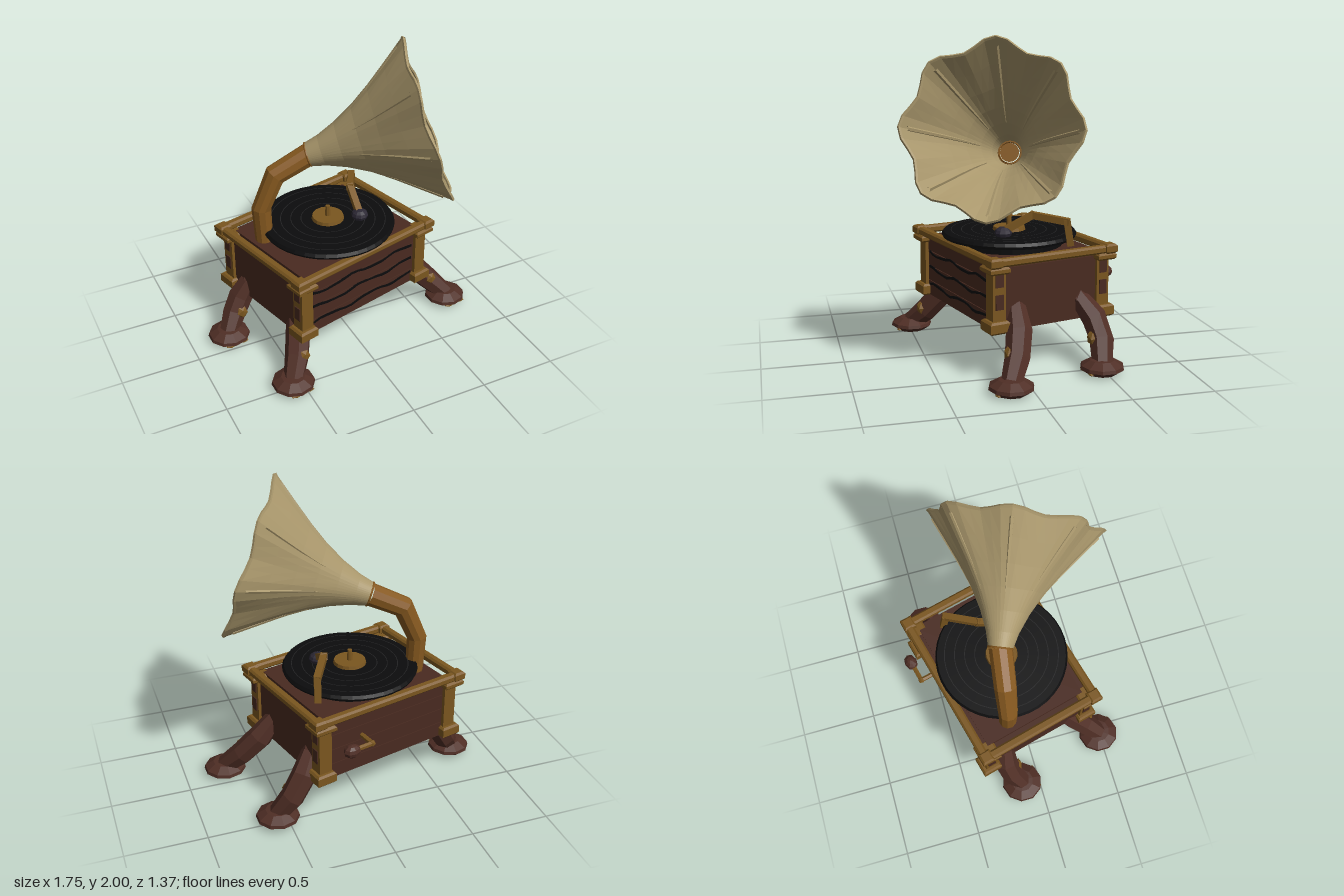
import * as THREE from 'three';

const material = (name, color, side = THREE.FrontSide) => {
  const m = new THREE.MeshStandardMaterial({ color, flatShading: true, side });
  m.name = name;
  return m;
};
const wood = material('dark wood', 0x492a20);
const footWood = material('red wood', 0x4f2e25);
const gold = material('old brass', 0x7a561f);
const pipeGold = material('pipe brass', 0x85581f);
const cream = material('horn cream', 0xa8966b, THREE.DoubleSide);
const black = material('record black', 0x0c0c0d);
const groove = material('groove grey', 0x222223);
const slate = material('cartridge slate', 0x2c2834);

const V = (x, y, z) => new THREE.Vector3(x, y, z);

function add(parent, name, geometry, mat, x = 0, y = 0, z = 0) {
  const mesh = new THREE.Mesh(geometry, mat);
  mesh.name = name;
  mesh.position.set(x, y, z);
  parent.add(mesh);
  return mesh;
}
const box = (parent, name, mat, w, h, d, x, y, z) =>
  add(parent, name, new THREE.BoxGeometry(w, h, d), mat, x, y, z);

// Box with a chamfer on every edge, base at y
function bevelBox(parent, name, mat, w, h, d, x, y, z, b = 0.012) {
  const s = new THREE.Shape();
  const a = w / 2 - b, c = d / 2 - b;
  s.moveTo(-a, -c).lineTo(a, -c).lineTo(a, c).lineTo(-a, c);
  const g = new THREE.ExtrudeGeometry(s, {
    depth: h - 2 * b, bevelEnabled: true, bevelSegments: 1, bevelSize: b, bevelThickness: b,
  });
  g.rotateX(-Math.PI / 2);
  return add(parent, name, g, mat, x, y + b, z);
}

// Tube whose radius follows a list from start to end
function taper(points, radii, steps, sides) {
  const curve = new THREE.CatmullRomCurve3(points);
  const g = new THREE.TubeGeometry(curve, steps, 1, sides, false);
  const p = g.attributes.position, v = V(0, 0, 0);
  for (let i = 0; i <= steps; i++) {
    const c = curve.getPointAt(i / steps);
    const f = (i / steps) * (radii.length - 1), k = Math.min(Math.floor(f), radii.length - 2);
    const r = THREE.MathUtils.lerp(radii[k], radii[k + 1], f - k);
    for (let j = 0; j <= sides; j++) {
      const n = i * (sides + 1) + j;
      v.fromBufferAttribute(p, n).sub(c).multiplyScalar(r).add(c);
      p.setXYZ(n, v.x, v.y, v.z);
    }
  }
  g.computeVertexNormals();
  return g;
}

function buildCabinet() {
  const cabinet = new THREE.Group();
  cabinet.name = 'cabinet';
  cabinet.position.set(-0.07, 0, -0.08);
  cabinet.rotation.y = 0.25;
  box(cabinet, 'cabinetBody', wood, 0.985, 0.38, 0.74, 0, 0.48, 0);

  // Front and back planks, with seams between them
  for (const s of [-1, 1])
    for (let i = 0; i < 4; i++)
      box(cabinet, s > 0 ? 'frontPlank' : 'backPlank', wood, 0.87, 0.096, 0.03, 0, 0.34 + i * 0.1, s * 0.365);

  // Wavy dark cracks on the front
  [0.365, 0.475, 0.58].forEach((y, k) => {
    const top = [], bottom = [];
    for (let i = 0; i <= 16; i++) {
      const x = -0.41 + i * 0.05125;
      const w = 0.011 * Math.sin(i * 0.85 + k * 1.3) + 0.003 * Math.sin(i * 1.9 + k);
      const h = 0.006 + 0.003 * Math.abs(Math.sin(i * 0.6 + k));
      top.push(new THREE.Vector2(x, w + h));
      bottom.unshift(new THREE.Vector2(x, w - h));
    }
    const g = new THREE.ExtrudeGeometry(new THREE.Shape([...bottom, ...top]), { depth: 0.006, bevelEnabled: false });
    add(cabinet, 'woodCrack', g, black, 0, y, 0.378);
  });

  // Corner posts, caps and inlays
  for (const sx of [-1, 1])
    for (const sz of [-1, 1]) {
      const x = sx * 0.47, z = sz * 0.36;
      box(cabinet, 'cornerPost', gold, 0.085, 0.34, 0.085, x, 0.49, z);
      bevelBox(cabinet, 'bottomCap', gold, 0.13, 0.075, 0.13, x + sx * 0.005, 0.287, z + sz * 0.005);
      bevelBox(cabinet, 'topCap', gold, 0.14, 0.044, 0.13, x + sx * 0.01, 0.646, z + sz * 0.01);
      bevelBox(cabinet, 'railCorner', gold, 0.08, 0.06, 0.08, x + sx * 0.047, 0.685, z + sz * 0.037);
      for (const y of [0.475, 0.61])
        box(cabinet, 'postInlay', wood, 0.01, 0.09, 0.05, x + sx * 0.044, y, z);
    }
  box(cabinet, 'topPanel', wood, 0.9, 0.05, 0.7, 0, 0.668, 0);

  // Top rails
  for (const s of [-1, 1]) {
    bevelBox(cabinet, 'longRail', gold, 1.06, 0.05, 0.055, 0, 0.688, s * 0.402);
    bevelBox(cabinet, 'shortRail', gold, 0.055, 0.05, 0.82, s * 0.52, 0.688, 0);
  }
  return cabinet;
}

function buildLeg(points) {
  const leg = new THREE.Group();
  leg.name = 'leg';
  add(leg, 'legLimb', taper(points, [0.06, 0.08, 0.076, 0.062], 3, 7), footWood);
  const top = add(leg, 'legShoulder', new THREE.IcosahedronGeometry(0.066, 0), footWood);
  top.position.copy(points[0]);
  const profile = [[0, 0.008], [0.09, 0.008], [0.135, 0.04], [0.13, 0.06], [0.075, 0.092], [0, 0.098]]
    .map(([x, y]) => new THREE.Vector2(x, y));
  const end = points[points.length - 1];
  add(leg, 'foot', new THREE.LatheGeometry(profile, 10), footWood, end.x, 0, end.z);
  // Brass knee patch and toe tips
  const mid = points[1].clone().lerp(end, 0.22);
  const patch = add(leg, 'kneePatch', new THREE.IcosahedronGeometry(0.045, 0), gold, mid.x + 0.02, mid.y, mid.z + 0.062);
  patch.scale.set(0.9, 1, 0.6);
  for (const a of [-0.25, 0.6]) {
    const toe = add(leg, 'toeTip', new THREE.IcosahedronGeometry(0.025, 0), gold,
      end.x + 0.115 * Math.sin(a), 0.03, end.z + 0.115 * Math.cos(a));
    toe.scale.set(1.4, 0.4, 0.6);
  }
  return leg;
}

function buildRecord() {
  const record = new THREE.Group();
  record.name = 'turntable';
  record.position.set(-0.055, 0, -0.065);
  add(record, 'platter', new THREE.CylinderGeometry(0.34, 0.34, 0.08, 32), black, 0, 0.715, 0);
  const profile = [[0, 0.735], [0.39, 0.735], [0.42, 0.745], [0.427, 0.76], [0.415, 0.778], [0, 0.78]]
    .map(([x, y]) => new THREE.Vector2(x, y));
  add(record, 'record', new THREE.LatheGeometry(profile, 40), black);
  for (const r of [0.17, 0.235, 0.3, 0.365]) {
    const ring = add(record, 'recordGroove', new THREE.RingGeometry(r, r + 0.005, 40), groove, 0, 0.7815, 0);
    ring.rotation.x = -Math.PI / 2;
  }
  add(record, 'recordLabel', new THREE.CylinderGeometry(0.1, 0.105, 0.022, 16), gold, 0, 0.79, 0);
  add(record, 'spindle', new THREE.CylinderGeometry(0.015, 0.02, 0.08, 8), gold, 0, 0.83, 0);
  return record;
}

function buildHorn() {
  const horn = new THREE.Group();
  horn.name = 'horn';
  horn.position.set(-0.17, 1.25, -0.1);
  horn.lookAt(0.505, 1.49, 0.19);
  const length = 0.765, lobes = 8;
  const stations = [0, 0.12, 0.28, 0.45, 0.62, 0.8, 1], radii = [0.076, 0.099, 0.148, 0.217, 0.302, 0.4, 0.508];
  const radiusAt = (t) => {
    let k = 0;
    while (k < stations.length - 2 && t > stations[k + 1]) k++;
    return THREE.MathUtils.mapLinear(t, stations[k], stations[k + 1], radii[k], radii[k + 1]);
  };
  // Flutes swell outward and the rim dips back between them
  const surface = (t, a, inset = 0) => {
    const wave = Math.cos(lobes * a);
    const r = radiusAt(t) * (1 + 0.06 * t ** 1.5 * wave) - inset;
    return V(r * Math.sin(a), r * Math.cos(a), t * length + 0.012 * t ** 4 * (wave - 1));
  };

  // Fluted bell, from a cylinder grid bent onto the profile
  const sides = 48, rows = stations.length - 1;
  const bell = new THREE.CylinderGeometry(1, 1, 1, sides, rows, true);
  const p = bell.attributes.position;
  for (let i = 0; i <= rows; i++)
    for (let j = 0; j <= sides; j++) {
      const v = surface(stations[rows - i], (j / sides) * Math.PI * 2);
      p.setXYZ(i * (sides + 1) + j, v.x, v.y, v.z);
    }
  bell.computeVertexNormals();
  add(horn, 'bell', bell, cream);

  // Rolled lip and the raised ribs inside
  const rim = Array.from({ length: 48 }, (_, j) => surface(1, (j / 48) * Math.PI * 2, 0.006));
  add(horn, 'bellLip', new THREE.TubeGeometry(new THREE.CatmullRomCurve3(rim, true), 48, 0.01, 4, true), cream);
  for (let k = 0; k < lobes; k++) {
    const a = (k / lobes) * Math.PI * 2;
    const path = [0.3, 0.45, 0.62, 0.8, 0.94].map((t) => surface(t, a, 0.007));
    add(horn, 'bellRib', taper(path, [0.004, 0.01, 0.013, 0.014], 8, 5), cream);
  }
  add(horn, 'neckCollar', new THREE.TorusGeometry(0.073, 0.008, 6, 16), pipeGold);
  add(horn, 'neckPlug', new THREE.CircleGeometry(0.062, 16), pipeGold, 0, 0, 0.012);
  return horn;
}

export function createModel() {
  const model = new THREE.Group();
  model.name = 'gramophone';
  model.add(buildCabinet(), buildRecord(), buildHorn());

  // Four splayed legs
  [
    [V(0.42, 0.42, 0.02), V(0.57, 0.24, 0.035), V(0.74, 0.06, 0.13)],
    [V(0.32, 0.41, -0.41), V(0.43, 0.24, -0.505), V(0.56, 0.06, -0.48)],
    [V(-0.42, 0.38, 0.24), V(-0.46, 0.21, 0.35), V(-0.56, 0.06, 0.49)],
    [V(-0.56, 0.38, -0.19), V(-0.65, 0.22, -0.2), V(-0.75, 0.06, -0.12)],
  ].forEach((path) => model.add(buildLeg(path)));

  // Bent pipe carrying the horn
  const pipe = [V(-0.465, 0.68, -0.14), V(-0.472, 0.95, -0.14), V(-0.38, 1.145, -0.13), V(-0.165, 1.252, -0.098)];
  add(model, 'hornPipe', taper(pipe, [0.056, 0.062, 0.07, 0.073], 3, 10), pipeGold);

  // Tone arm with its cartridge
  const joints = [V(0.26, 0.74, -0.37), V(0.255, 0.875, -0.35), V(0.15, 0.905, -0.16), V(0.13, 0.82, 0.0)];
  for (let i = 0; i < 3; i++) {
    const a = joints[i], b = joints[i + 1];
    const bar = box(model, 'toneArm', gold, 0.042, 0.042, a.distanceTo(b) + 0.03, 0, 0, 0);
    bar.position.copy(a).lerp(b, 0.5);
    bar.lookAt(b);
  }
  const head = add(model, 'cartridge', new THREE.SphereGeometry(0.055, 10, 6), slate, 0.13, 0.8, 0.02);
  head.scale.y = 0.7;

  // Winding crank at the back
  const crank = [V(0.04, 0.52, -0.44), V(0.0, 0.52, -0.605), V(0.12, 0.52, -0.635)];
  for (let i = 0; i < 2; i++)
    add(model, 'crankRod', new THREE.TubeGeometry(new THREE.LineCurve3(crank[i], crank[i + 1]), 1, 0.016, 6), gold);
  add(model, 'crankElbow', new THREE.IcosahedronGeometry(0.022, 0), gold, 0, 0.52, -0.605);
  const knob = add(model, 'crankKnob', new THREE.SphereGeometry(0.042, 8, 6), footWood, 0.14, 0.52, -0.642);
  knob.scale.x = 1.35;
  knob.rotation.y = 0.25;
  return model;
}
